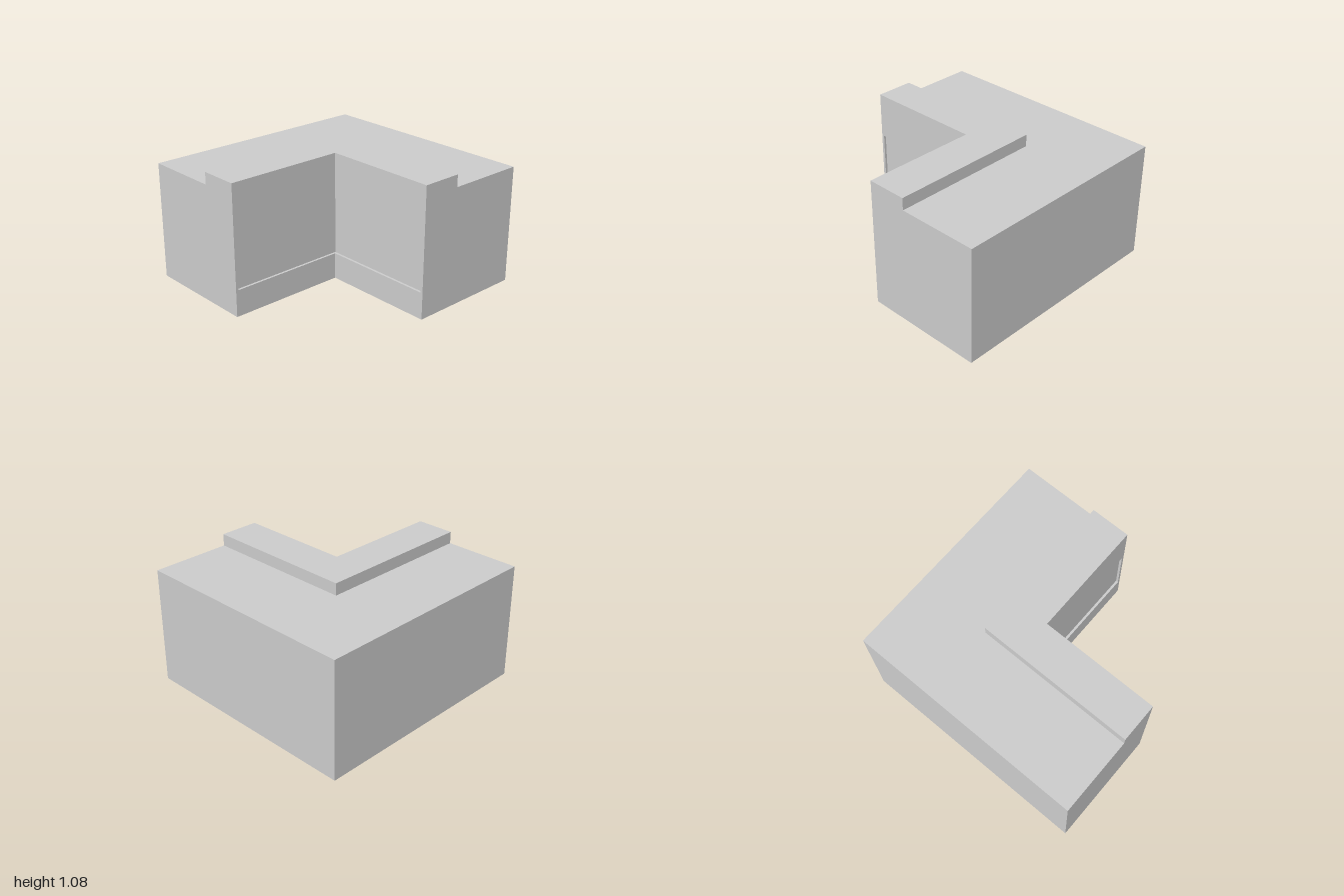
import * as THREE from 'three';

const X_SCALE = 0.965;   // one arm is slightly shorter than the other
const WALL = 0.02;       // thickness of the inner front wall
const material = new THREE.MeshStandardMaterial({
  color: 0xcccccc, flatShading: true, side: THREE.DoubleSide,
});

// Sweeps a [depth, height] profile round the L with a mitred corner.
// Each arm runs from distance `from` to `to` along the inner corner's two walls;
// with `from` null the arms meet at the mitre.
function sweepL(name, profile, { from = null, to = 1, capProfile = profile, closed = true } = {}) {
  const positions = [];
  const triangle = (...points) => points.forEach((p) => positions.push(...p));
  const arms = [
    ([t, y], s) => [X_SCALE * (s ?? -t), y, -t],   // arm along +x
    ([t, y], s) => [X_SCALE * -t, y, s ?? -t],     // arm along +z
  ];
  const outline = capProfile.map(([t, y]) => new THREE.Vector2(t, y));
  const capFaces = THREE.ShapeUtils.triangulateShape(outline, []);

  arms.forEach((at, arm) => {
    const count = closed ? profile.length : profile.length - 1;
    for (let i = 0; i < count; i++) {
      const p = profile[i];
      const q = profile[(i + 1) % profile.length];
      const quad = [at(p, to), at(q, to), at(q, from), at(p, from)];
      if (arm === 1) quad.reverse();
      triangle(quad[0], quad[1], quad[2]);
      triangle(quad[0], quad[2], quad[3]);
    }
    // end caps
    const ends = from === null ? [to] : [from, to];
    for (const end of ends) {
      for (const face of capFaces) triangle(...face.map((k) => at(capProfile[k], end)));
    }
  });

  const geometry = new THREE.BufferGeometry();
  geometry.setAttribute('position', new THREE.Float32BufferAttribute(positions, 3));
  geometry.computeVertexNormals();
  const mesh = new THREE.Mesh(geometry, material);
  mesh.name = name;
  return mesh;
}

// Rectangular profile
const block = (t0, t1, y0, y1) => [[t0, y0], [t0, y1], [t1, y1], [t1, y0]];

export function createModel() {
  const group = new THREE.Group();
  group.name = 'cornerCounter';

  const panelBottom = 0.22;
  const panelTop = 0.7;
  const panelEnd = 0.977;
  const height = 1.08;
  const lowHeight = 0.98;
  const step = 0.335;

  // Thin outer casing: raised ledge, lower worktop, back wall; open underneath
  const casing = [[WALL, height], [step, height], [step, lowHeight], [1, lowHeight], [1, 0]];
  group.add(sweepL('casing', casing, { closed: false, capProfile: [...casing, [WALL, 0]] }));

  // Inner front wall framing the panel opening
  group.add(sweepL('plinth', block(0, WALL, 0, panelBottom)));
  group.add(sweepL('upperFront', block(0, WALL, panelTop, height)));
  group.add(sweepL('endPosts', block(0, WALL, panelBottom, panelTop), { from: panelEnd }));

  // Slab panels set behind the opening
  group.add(sweepL('recessedPanels', block(WALL, 0.065, panelBottom, panelTop), { to: panelEnd }));

  return group;
}
